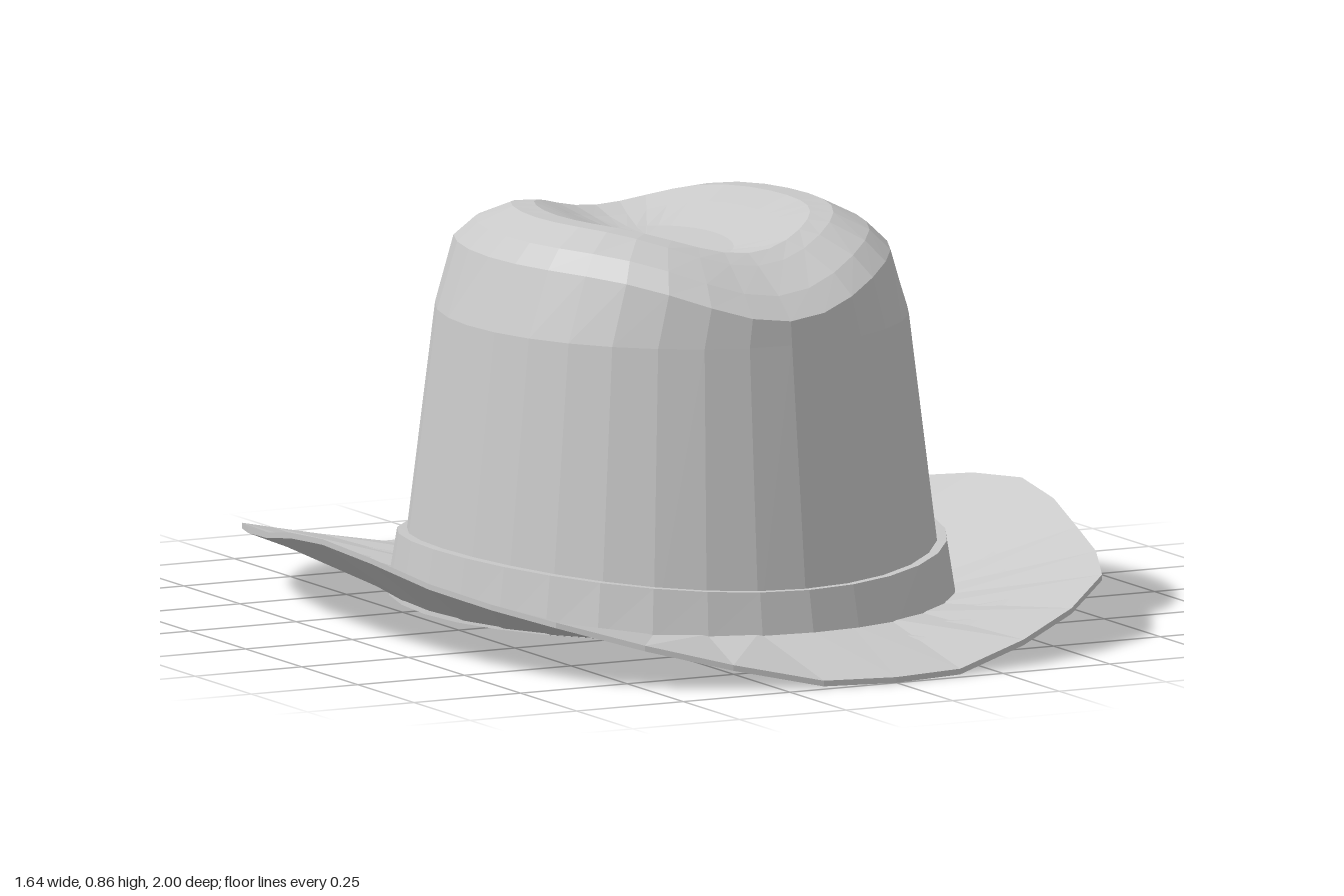
import * as THREE from 'three';

const SIDES = 32;

// Oval ring: a, b are the half width and half depth; the height blends
// from ySide to yFront, and p sets how tightly it hugs the front and back.
function oval([a, b, ySide, yFront, p = 2]) {
  const ring = [];
  for (let i = 0; i < SIDES; i++) {
    const t = (i / SIDES) * Math.PI * 2;
    const f = Math.pow(Math.abs(Math.cos(t)), p);
    ring.push([a * Math.sin(t), ySide + (yFront - ySide) * f, b * Math.cos(t)]);
  }
  return ring;
}

// Skin a list of rings with quads
function loft(rings) {
  const index = [];
  for (let j = 0; j < rings.length - 1; j++) {
    for (let i = 0; i < SIDES; i++) {
      const k = (i + 1) % SIDES;
      const a = j * SIDES + i, b = j * SIDES + k;
      const c = a + SIDES, d = b + SIDES;
      index.push(a, b, d, a, d, c);
    }
  }
  const geometry = new THREE.BufferGeometry();
  geometry.setAttribute('position', new THREE.Float32BufferAttribute(rings.flat(2), 3));
  geometry.setIndex(index);
  geometry.computeVertexNormals();
  return geometry;
}

// Brim edge, one quarter from front to side: x, y, z
const EDGE = [
  [0, 0, 1], [0.16, 0.002, 0.98], [0.34, 0.04, 0.92],
  [0.5, 0.08, 0.83], [0.64, 0.12, 0.7], [0.71, 0.14, 0.54],
  [0.76, 0.16, 0.36], [0.8, 0.19, 0.18], [0.82, 0.205, 0],
];

// Mirror the quarter around the whole brim
function brimEdge(lift) {
  const ring = [];
  for (let i = 0; i < SIDES; i++) {
    const half = i <= 16 ? i : 32 - i;
    const [x, y, z] = EDGE[half <= 8 ? half : 16 - half];
    ring.push([i <= 16 ? x : -x, y + lift, half <= 8 ? z : -z]);
  }
  return ring;
}

export function createModel() {
  const hat = new THREE.Group();
  hat.name = 'hat';
  const felt = new THREE.MeshStandardMaterial({
    name: 'greyFelt', color: 0xc8c8c8, flatShading: true, side: THREE.DoubleSide,
  });

  const add = (name, rings) => {
    const mesh = new THREE.Mesh(loft(rings), felt);
    mesh.name = name;
    hat.add(mesh);
  };

  // Thin curled brim: underside, rim, upper side
  add('brim', [
    oval([0.555, 0.605, 0.035, 0.04]),
    brimEdge(0),
    brimEdge(0.012),
    oval([0.555, 0.605, 0.048, 0.053]),
  ]);

  // Band around the foot of the crown
  add('band', [
    oval([0.58, 0.632, 0.04, 0.045]),
    oval([0.56, 0.612, 0.175, 0.137]),
    oval([0.538, 0.59, 0.175, 0.137]),
  ]);

  // Hollow tapered crown with sloping ends and a dished top
  add('crown', [
    [0.555, 0.605, 0.04, 0.045],
    [0.48, 0.535, 0.64, 0.64],
    [0.43, 0.53, 0.78, 0.69, 6],
    [0.39, 0.475, 0.82, 0.735, 6],
    [0.32, 0.385, 0.855, 0.785, 5],
    [0.27, 0.34, 0.855, 0.805, 5],
    [0.2, 0.28, 0.83, 0.79, 4],
    [0.1, 0.2, 0.79, 0.78],
    [0, 0.12, 0.775, 0.775],
  ].map(oval));

  return hat;
}
